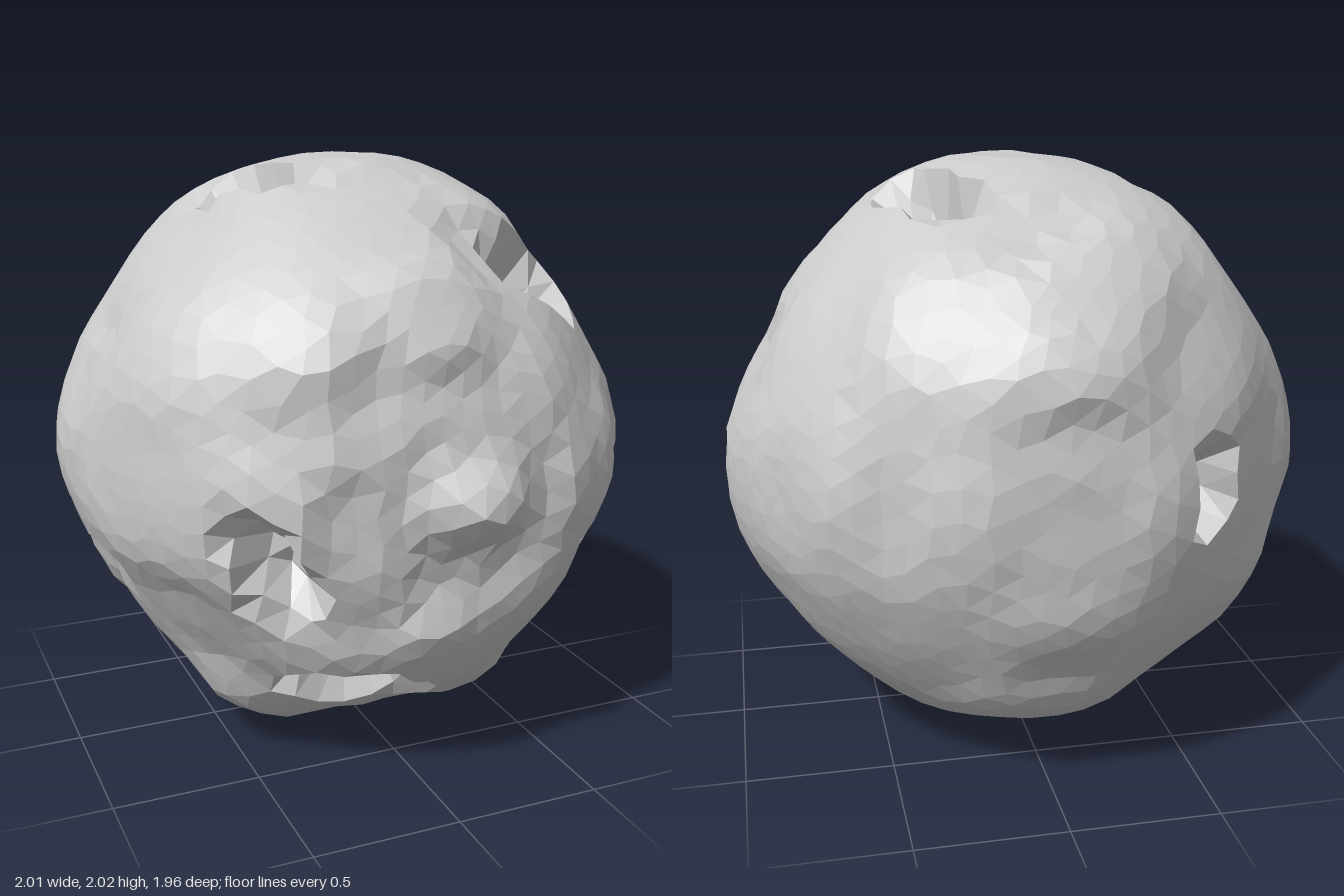
import * as THREE from 'three';

const V = (x, y, z) => new THREE.Vector3(x, y, z);

// Outline of the rock cut through its centre, facing front (x, y)
const FRONT = [
  [0, 1], [0.2, 1], [0.35, 0.95], [0.5, 0.84], [0.72, 0.64], [0.78, 0.55], [0.83, 0.39],
  [0.93, 0.2], [1, 0.12], [1, -0.18], [0.9, -0.45], [0.8, -0.53], [0.62, -0.75], [0.35, -0.96],
  [0.15, -1], [-0.2, -1], [-0.35, -0.96], [-0.6, -0.75], [-0.7, -0.63], [-0.8, -0.48],
  [-0.83, -0.35], [-0.96, -0.18], [-1, 0], [-1, 0.15], [-0.95, 0.32], [-0.8, 0.53],
  [-0.6, 0.75], [-0.35, 0.95],
];
// Facing the side (z, y)
const SIDE = [
  [0.2, 1], [0.35, 0.91], [0.55, 0.8], [0.72, 0.7], [0.8, 0.55], [0.84, 0.3], [0.855, 0.12],
  [0.85, 0], [0.835, -0.2], [0.83, -0.5], [0.66, -0.72], [0.42, -0.83], [0.2, -0.97],
  [-0.3, -0.97], [-0.5, -0.86], [-0.65, -0.8], [-0.77, -0.7], [-0.83, -0.55], [-0.95, -0.35],
  [-0.97, -0.15], [-0.97, 0.2], [-0.95, 0.5], [-0.8, 0.68], [-0.53, 0.82], [-0.35, 0.95],
  [-0.2, 1],
];
// Seen from the top (x, z)
const TOP = [
  [0.35, -0.95], [0.55, -0.8], [0.7, -0.76], [0.8, -0.62], [0.82, -0.55], [0.93, -0.4],
  [1, -0.2], [1, 0], [0.95, 0.35], [0.8, 0.5], [0.75, 0.65], [0.52, 0.82], [0.3, 0.835],
  [-0.3, 0.83], [-0.5, 0.82], [-0.63, 0.75], [-0.8, 0.55], [-0.9, 0.35], [-0.97, 0.2],
  [-0.95, -0.35], [-0.8, -0.52], [-0.65, -0.7], [-0.5, -0.83], [-0.35, -0.95], [0, -0.97],
];
// Swells and flats between the outlines (x, y, z)
const BETWEEN = [
  [-0.42, 0.89, -0.27], [-0.78, 0.46, 0.43], [-0.42, 0.49, 0.77], [0.33, 0.62, -0.76],
  [0.74, -0.53, -0.36], [-0.23, -0.63, 0.69], [0.41, -0.91, 0.25], [-0.69, -0.46, 0.38],
  [0.41, -0.48, -0.75], [0.76, 0.49, -0.4], [-0.17, 0.76, -0.72], [-0.49, 0.38, -0.77],
  [-0.77, -0.48, -0.43], [-0.46, -0.9, 0.19], [0.68, 0.61, 0.24], [0.48, -0.37, 0.74],
  [0.27, 0.73, 0.5], [0.38, 0.36, 0.8], [0.62, 0.42, 0.56], [-0.45, -0.6, -0.62],
  [0.6, -0.55, 0.48], [0.35, 0.9, 0.28], [-0.4, 0.22, 0.82], [0.3, -0.4, 0.81],
  [0.2, 0.28, 0.83], [-0.2, 0.28, 0.83], [-0.25, -0.3, 0.82], [0.2, -0.22, 0.83],
];
const CONTROLS = [
  ...FRONT.map(([x, y]) => V(x, y, 0)),
  ...SIDE.map(([z, y]) => V(0, y, z)),
  ...TOP.map(([x, z]) => V(x, 0, z)),
  ...BETWEEN.map(p => V(...p)),
].map(p => ({ r: p.length(), n: p.clone().normalize() }));

// Pits, dents and the bump: centre, long axis, half length, half width, depth
const mark = (c, axis, a, b, depth, steep = 1) => {
  const n = V(...c).normalize();
  const u = V(...axis);
  u.addScaledVector(n, -u.dot(n)).normalize();
  return { n, u, v: n.clone().cross(u), a, b, depth, steep };
};
const pit = (c, axis, a, b, depth = 0.22) => mark(c, axis, a, b, depth, 1.7);
const MARKS = [
  // deep, narrow pits
  pit([-0.33, 0.87, 0.03], [0.35, 0, 0.45], 0.26, 0.105),
  pit([0.31, 0.86, -0.22], [0.3, 0, 0.55], 0.28, 0.1),
  pit([0.5, 0.6, 0.43], [0.4, -0.3, -0.2], 0.24, 0.15, 0.3),
  pit([-0.52, -0.18, 0.72], [0.3, -0.45, 0], 0.26, 0.115),
  pit([0.68, -0.25, 0.56], [0, 1, 0], 0.23, 0.125),
  pit([-0.2, -0.68, 0.6], [1, 0, 0], 0.29, 0.12),
  pit([-0.46, 0.03, -0.78], [0, 1, 0], 0.18, 0.095, 0.2),
  // wide shallow dents
  mark([-0.88, 0.34, -0.02], [0, 1, 0], 0.28, 0.26, 0.05),
  mark([0.4, -0.86, -0.14], [1, 0, 0], 0.3, 0.22, 0.03),
  // raised knob on the front
  mark([0.09, 0, 0.86], [1, 0, 0], 0.26, 0.2, -0.13, 1.2),
];

// Distance of the rock's surface from its centre along a unit direction
function surfaceRadius(d) {
  let sum = 0, total = 0;
  for (const { r, n } of CONTROLS) {
    const w = (2 - 2 * d.dot(n) + 0.01) ** -2.5;
    sum += w * r;
    total += w;
  }
  let radius = sum / total;
  for (const m of MARKS) {
    if (d.dot(m.n) < 0.5) continue;
    const q = Math.hypot(d.dot(m.u) / m.a, d.dot(m.v) / m.b);
    if (q < 1) radius -= m.depth * Math.min(1, m.steep * (1 - q));
  }
  return radius;
}

export function createModel() {
  const group = new THREE.Group();
  group.name = 'asteroid';

  const geometry = new THREE.IcosahedronGeometry(1, 12);
  const pos = geometry.attributes.position;
  const d = V(0, 0, 0);
  for (let i = 0; i < pos.count; i++) {
    d.fromBufferAttribute(pos, i).normalize();
    // uneven spacing gives irregular facets
    const { x, y, z } = d;
    d.x += 0.015 * Math.sin(23 * y + 31 * z);
    d.y += 0.015 * Math.sin(29 * z + 21 * x);
    d.z += 0.015 * Math.sin(27 * x + 25 * y);
    d.normalize();
    d.multiplyScalar(surfaceRadius(d));
    pos.setXYZ(i, d.x, d.y + 1, d.z);
  }
  geometry.computeVertexNormals();

  const rock = new THREE.Mesh(geometry, new THREE.MeshStandardMaterial({
    color: 0xcccccc, flatShading: true,
  }));
  rock.name = 'crateredRock';
  group.add(rock);
  return group;
}
